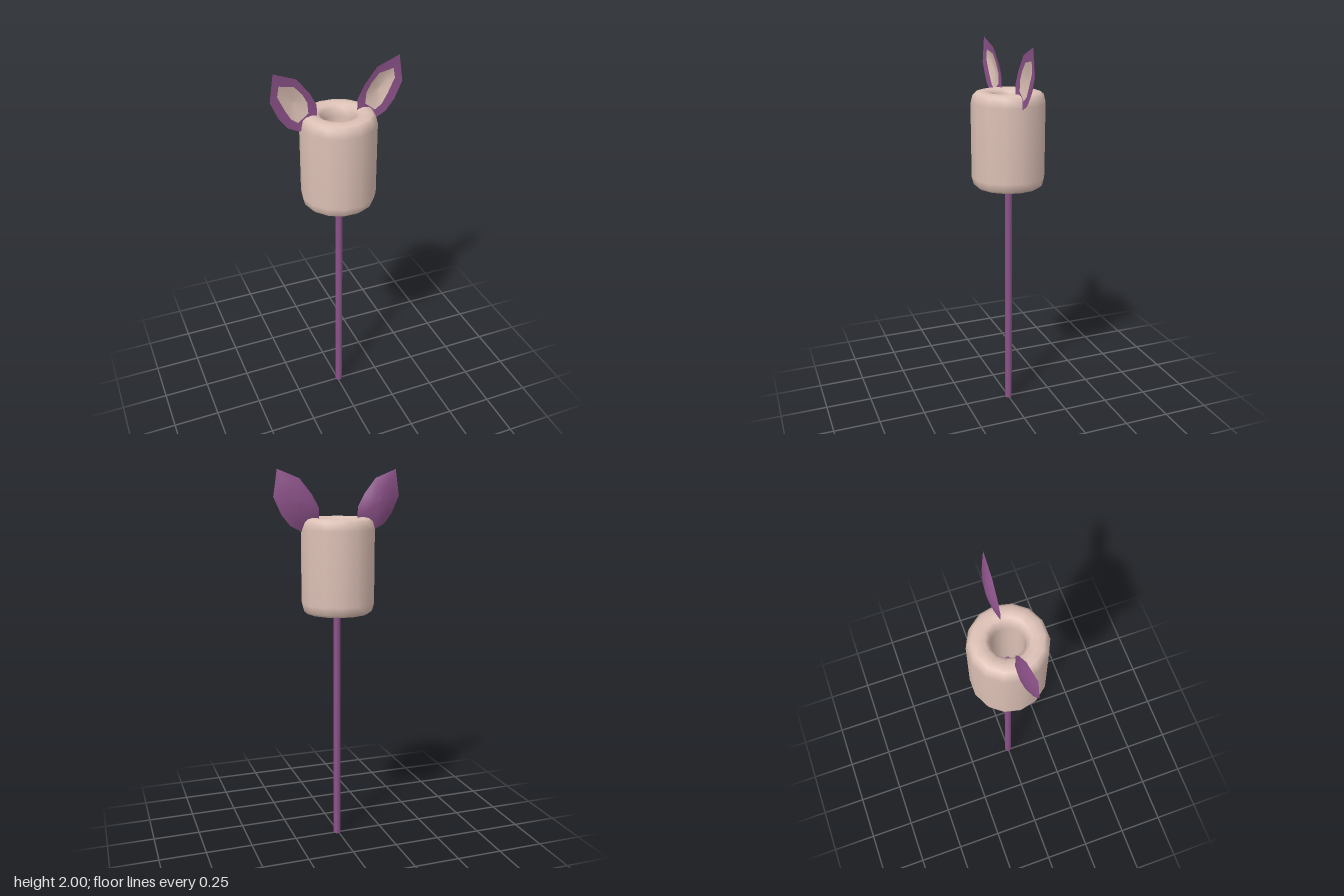
import * as THREE from 'three';

const purple = new THREE.MeshStandardMaterial({ color: 0x8c5289 });
purple.name = 'purple';
const beige = new THREE.MeshStandardMaterial({ color: 0xdcc0b5 });
beige.name = 'beige';

// Ear outlines for the +x ear, counter-clockwise seen from the front
const RIM = [[0.32, 2.0], [0.205, 1.955], [0.14, 1.875], [0.105, 1.81], [0.103, 1.75],
  [0.195, 1.69], [0.255, 1.72], [0.3, 1.775], [0.341, 1.865]];
const INNER = [[0.293, 1.935], [0.218, 1.92], [0.177, 1.875], [0.152, 1.83], [0.147, 1.775],
  [0.2, 1.735], [0.236, 1.76], [0.266, 1.81], [0.302, 1.885]];
const CENTRE = [0.222, 1.84];

// Loop of points pulled towards the ear centre by factor k
const loop = (pts, z, k = 1) => pts.map(([x, y]) => [
  CENTRE[0] + (x - CENTRE[0]) * k, CENTRE[1] + (y - CENTRE[1]) * k, z]);

// Skin through loops ordered from outside in; flip reverses the facing
function skin(loops, flip) {
  const n = loops[0].length;
  const index = [];
  for (let r = 0; r < loops.length - 1; r++) {
    for (let i = 0; i < n; i++) {
      const a = r * n + i, b = r * n + (i + 1) % n;
      const quad = [a, b, b + n, a, b + n, a + n];
      index.push(...(flip ? quad.reverse() : quad));
    }
  }
  const g = new THREE.BufferGeometry();
  g.setAttribute('position', new THREE.Float32BufferAttribute(loops.flat(2), 3));
  g.setIndex(index);
  g.computeVertexNormals();
  return g;
}

function part(name, geometry, material) {
  const mesh = new THREE.Mesh(geometry, material);
  mesh.name = name;
  return mesh;
}

// side = 1 for the left ear (+x), -1 for the right ear
function makeEar(side) {
  const ear = new THREE.Group();
  ear.name = side > 0 ? 'leftEar' : 'rightEar';
  const place = (l) => l.map(([x, y, z]) => [x * side, y, z + (side < 0 ? (x - 0.16) * 0.08 : 0)]);
  const add = (name, loops, back, material) =>
    ear.add(part(name, skin(loops.map(place), back !== (side < 0)), material));
  add('earRim', [loop(RIM, 0), loop(INNER, -0.004)], false, purple);
  add('earInside', [loop(INNER, -0.004), loop(INNER, -0.013, 0.55), loop(INNER, -0.017, 0)], false, beige);
  add('earBack', [loop(RIM, 0), loop(RIM, -0.017, 0.7), loop(RIM, -0.027, 0.35), loop(RIM, -0.03, 0)], true, purple);
  return ear;
}

export function createModel() {
  const model = new THREE.Group();
  model.name = 'earedTubeOnStick';

  // Hollow rounded tube: a closed profile turned around y
  const corner = [[0, 0.25], [0.03, 0.244], [0.047, 0.23], [0.057, 0.19]];
  const top = [...corner].reverse().map(([r, y]) => [r, y]).concat(corner.slice(1).map(([r, y]) => [-r, y]));
  const bottom = top.map(([r, y]) => [-r, -y]);
  const profile = [...bottom.slice(3), ...top, ...bottom.slice(0, 4)]
    .map(([r, y]) => new THREE.Vector2(0.135 + r, 1.51 + y));
  const tube = part('tube', new THREE.LatheGeometry(profile, 14, Math.PI / 2), beige);
  tube.position.x = 0.004;
  model.add(tube);

  // Stick reaching up into the tube
  const stick = part('stick', new THREE.CylinderGeometry(0.019, 0.019, 1.5, 12), purple);
  stick.position.set(0.008, 0.75, 0);
  model.add(stick);

  model.add(makeEar(1), makeEar(-1));
  return model;
}
